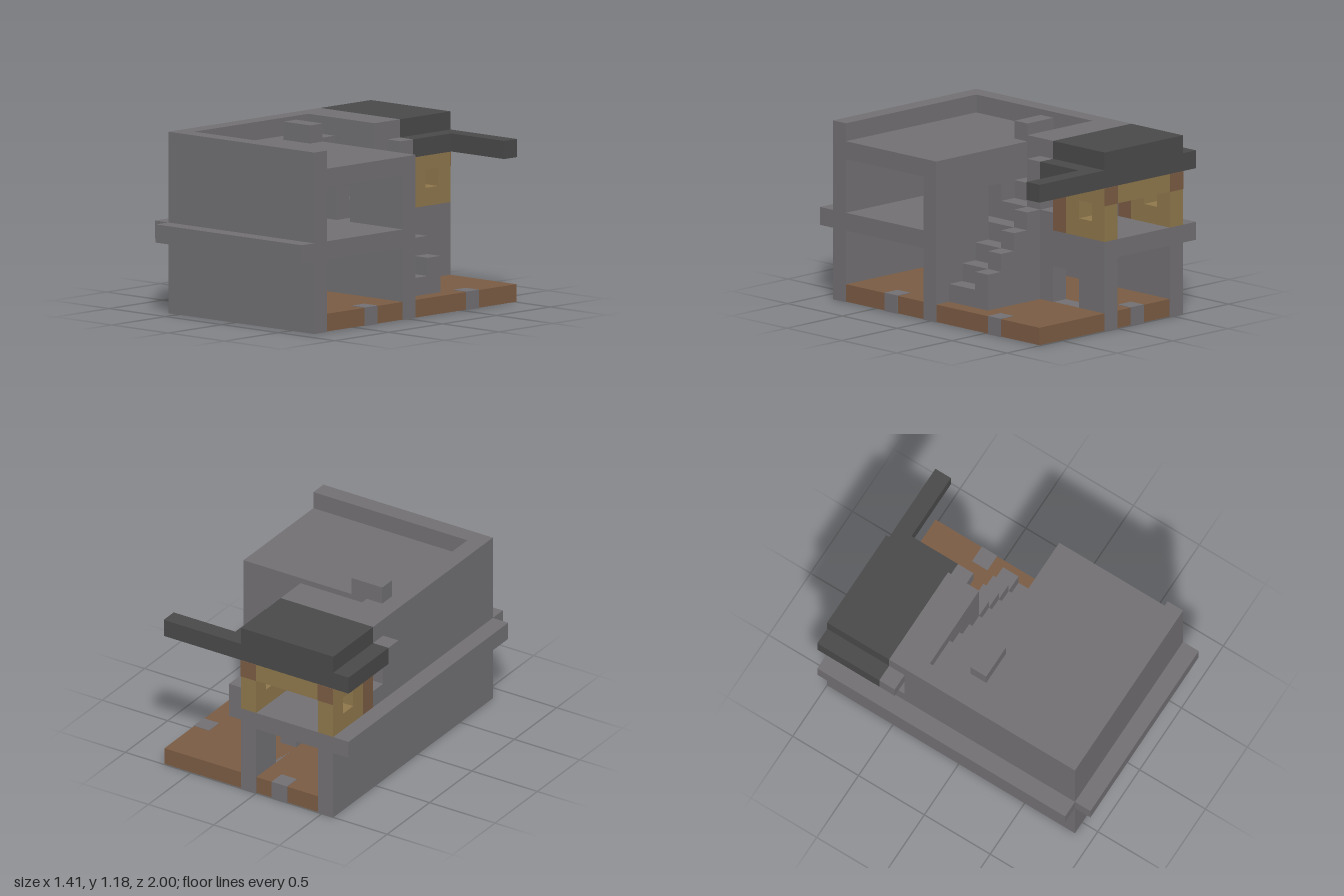
import * as THREE from 'three';

const U = 2 / 17; // one block

export function createModel() {
  const group = new THREE.Group();
  const mat = (name, color) => {
    const m = new THREE.MeshStandardMaterial({ color });
    m.name = name;
    return m;
  };
  const stone = mat('stone grey', 0x727073);
  const slate = mat('dark slate', 0x4a4a4a);
  const earth = mat('brown', 0x7b5c44);
  const plank = mat('ochre plank', 0x8f774c);

  // Box between block coordinates: x -6..6, y 0..10, z 0 (back)..17 (front)
  function box(name, m, x0, x1, y0, y1, z0, z1) {
    const g = new THREE.BoxGeometry((x1 - x0) * U, (y1 - y0) * U, (z1 - z0) * U);
    const mesh = new THREE.Mesh(g, m);
    mesh.name = name;
    mesh.position.set((x0 + x1) / 2 * U, (y0 + y1) / 2 * U, ((z0 + z1) / 2 - 8.5) * U);
    group.add(mesh);
  }

  // Earth base, set in slightly so that walls and paving read on its faces
  const e = 0.025;
  box('base', earth, -5 + e, 6 - e, e, 1, e, 16 - e);
  box('pavingSide', stone, 5, 6, 0, 1 + e, 3, 4);
  box('pavingFrontRoom', stone, 5, 6, 0, 1 + e, 11, 12);
  box('pavingBack', stone, -2, -1, 0, 1 + e, 0, 1);

  // Outer walls
  box('frontWall', stone, -4, 6, 0, 10, 15, 16);
  box('sideWallLower', stone, -5, -4, 0, 5, 0, 16);
  box('sideWallUpper', stone, -5, -4, 5, 10, 5, 16);

  // Cross wall with a doorway onto the stairs
  box('crossWallLower', stone, 0, 6, 0, 5, 8, 9);
  box('crossWallUpper', stone, -4, 1, 5, 9, 8, 9);
  box('crossWallUpper', stone, 2, 6, 5, 9, 8, 9);
  box('doorLintel', stone, 1, 2, 7, 9, 8, 9);

  // Floors and flat roof
  box('frontUpperFloor', stone, -4, 6, 4, 5, 9, 15);
  box('backUpperFloor', stone, -5, 1, 4, 5, 0, 6);
  box('landingFloor', stone, -4, -2, 4, 5, 6, 8);
  box('flatRoof', stone, -4, 6, 8, 9, 9, 15);
  box('roofLanding', stone, -4, -2, 8, 9, 6, 8);
  box('roofBlock', stone, -3, -1, 9, 10, 8, 9);

  // Ledges round the outside
  box('frontLedge', stone, -5, 6, 4, 5, 16, 17);
  box('sideLedge', stone, -6, -5, 4, 5, 0, 16);

  // Back room, ground floor: wall with a doorway
  box('backRoomWall', stone, 0, 1, 0, 4, 0, 2);
  box('backRoomWall', stone, 0, 1, 0, 4, 4, 8);
  box('backRoomSill', stone, 0, 1, 0, 1, 2, 4);
  box('backRoomLintel', stone, 0, 1, 3, 4, 2, 4);

  // Stairs: outer steps are solid and have a stepped rail, inner ones hang
  for (let i = 0; i < 7; i++) {
    const bottom = i < 4 ? 1 : i === 4 ? 4 : i;
    box('step', stone, 4 - i, 5 - i, bottom, 2 + i, 6, 8);
    if (i < 4) box('stairRail', stone, 4 - i, 5 - i, 0, 3 + i, 5, 6);
  }
  box('stairWall', stone, -4, 1, 5, 10, 5, 6);

  // Back room, upper floor: two plank walls with windows, posts and parapets
  for (const x of [-5, 0]) {
    box('plankWallBelow', plank, x, x + 1, 5, 6, 0, 3);
    box('plankWallAbove', plank, x, x + 1, 7, 8, 0, 3);
    box('windowSideBack', plank, x, x + 1, 6, 7, 0, 1);
    box('windowSideFront', plank, x, x + 1, 6, 7, 2, 3);
    box('brownPost', earth, x, x + 1, 5, 8, 3, 4);
    box('beamEnd', earth, x, x + 1, 7, 8, -0.03, 0);
    box('parapet', stone, x, x + 1, 5, 6, 4, 5);
  }
  box('backBeam', plank, -4, 0, 7, 8, 0, 1);
  box('ceiling', plank, -4, 0, 7.95, 8, 1, 4);

  // Slate roof, its eaves and the long arm
  box('eaves', slate, -6, 2, 8, 9, 0, 4);
  box('eavesStone', stone, -6, 2, 8, 9, 4, 5);
  box('slateRoof', slate, -5, 1, 9, 10, 0, 4);
  box('stoneRoof', stone, -5, 1, 9, 10, 4, 5);
  box('roofArm', slate, 2, 6, 8, 9, 0, 1);

  return group;
}
